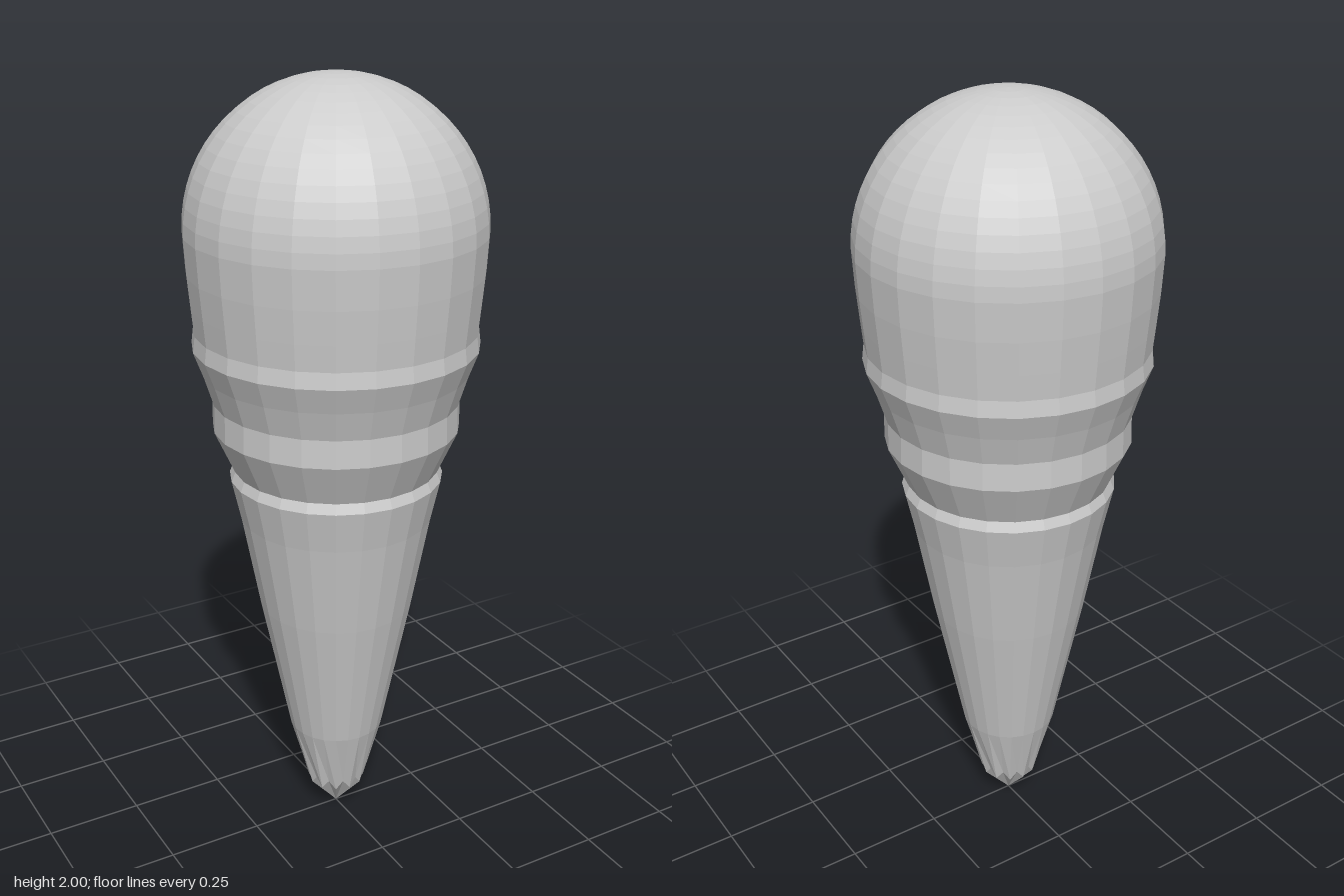
import * as THREE from 'three';

const SIDES = 24;
const material = new THREE.MeshStandardMaterial({ color: 0xcccccc, flatShading: true });

// Turned part from [radius, height] pairs listed bottom to top
function turned(name, profile) {
  const points = profile.map(([r, y]) => new THREE.Vector2(r, y));
  const mesh = new THREE.Mesh(new THREE.LatheGeometry(points, SIDES), material);
  mesh.name = name;
  return mesh;
}

export function createModel() {
  const group = new THREE.Group();
  group.name = 'cone';

  // Pointed tip and tapering cone, with a zigzag seam between them
  const seam = 0.1;
  const cone = turned('taperedCone', [
    [0, 0.005], [0.075, seam], [0.125, 0.28], [0.2, 0.65], [0.246, 0.9], [0.27, 1.01],
  ]);
  const pos = cone.geometry.attributes.position;
  const rows = 6;
  for (let i = 0; i < pos.count; i++) {
    const column = Math.floor(i / rows);
    if (i % rows === 1) pos.setY(i, column % 2 ? seam + 0.015 : seam - 0.01);
  }
  group.add(cone);

  // Stepped collar: each ledge slopes inward at its top
  group.add(turned('steppedCollar', [
    [0.27, 1.01], [0.26, 1.035], [0.309, 1.145], [0.307, 1.215], [0.33, 1.29], [0.354, 1.355],
  ]));

  // Rounded head: slightly flared wall closed by a hemisphere
  const radius = 0.367, centre = 2 - radius, rings = 16;
  const head = [[0.354, 1.355], [0.349, 1.395], [0.355, 1.46], [0.362, 1.54]];
  for (let i = 0; i <= rings; i++) {
    const a = (i / rings) * Math.PI / 2;
    head.push([i === rings ? 0 : radius * Math.cos(a), centre + radius * Math.sin(a)]);
  }
  group.add(turned('roundedHead', head));

  return group;
}
